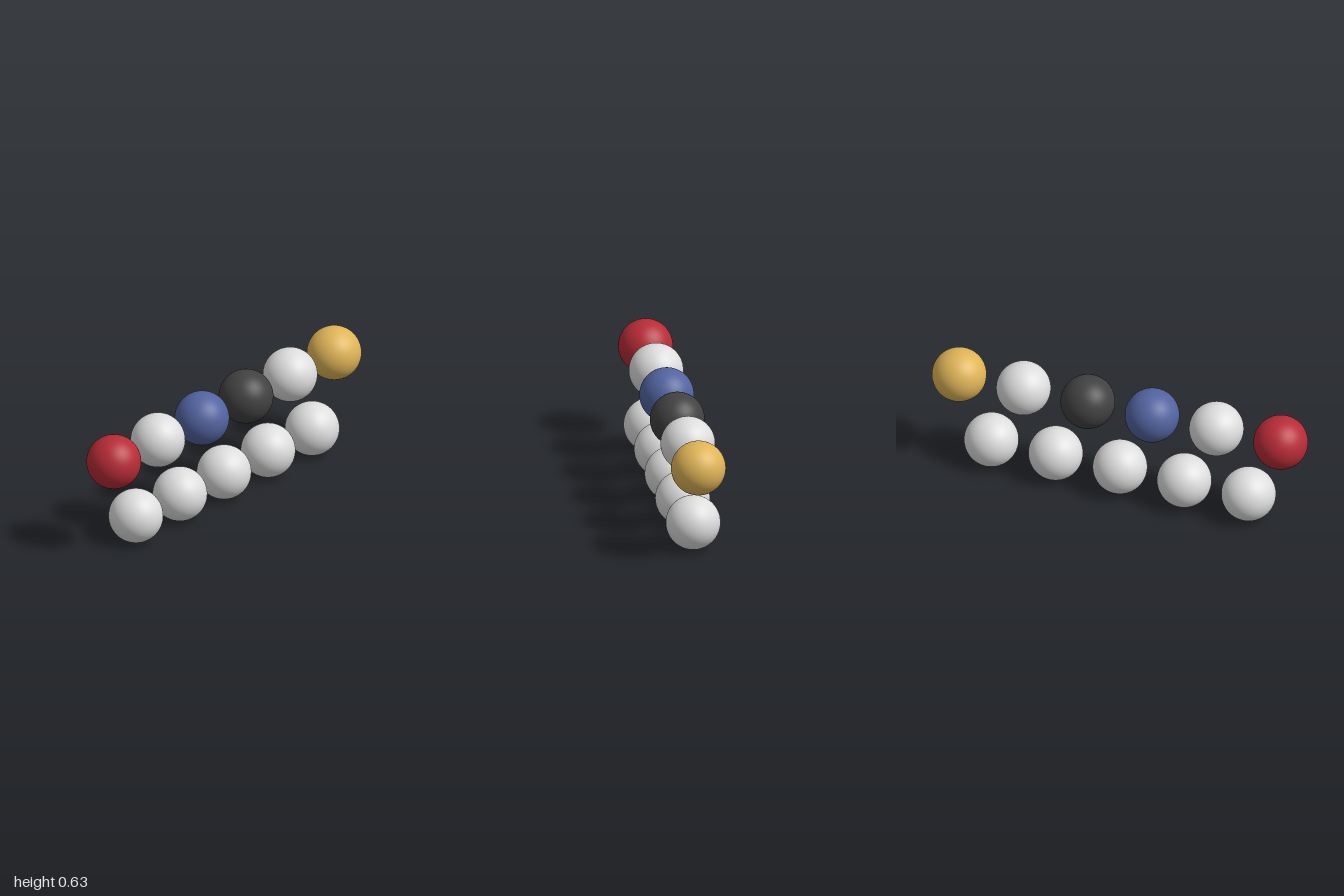
import * as THREE from 'three';

const RADIUS = 0.138;
const SPACING = 0.3448;
const UPPER_Y = 0.497;

function paint(name, color) {
  const material = new THREE.MeshStandardMaterial({ color });
  material.name = name;
  return material;
}

export function createModel() {
  const model = new THREE.Group();
  model.name = 'ballRows';

  const red = paint('red', 0xb72b37);
  const white = paint('white', 0xdcdddc);
  const blue = paint('blue', 0x52639f);
  const black = paint('black', 0x414141);
  const gold = paint('gold', 0xdfb457);

  const sphere = new THREE.SphereGeometry(RADIUS, 64, 40);

  // A row of evenly spaced balls, centred on x = 0
  function addRow(name, y, materials) {
    const row = new THREE.Group();
    row.name = name;
    materials.forEach((material, i) => {
      const ball = new THREE.Mesh(sphere, material);
      ball.name = `${material.name}Ball`;
      ball.position.set((i - (materials.length - 1) / 2) * SPACING, y, 0);
      row.add(ball);
    });
    model.add(row);
  }

  // Upper row of six mixed colours, lower row of five white balls in the gaps
  addRow('upperRow', UPPER_Y, [red, white, blue, black, white, gold]);
  addRow('lowerRow', RADIUS, Array(5).fill(white));

  return model;
}
